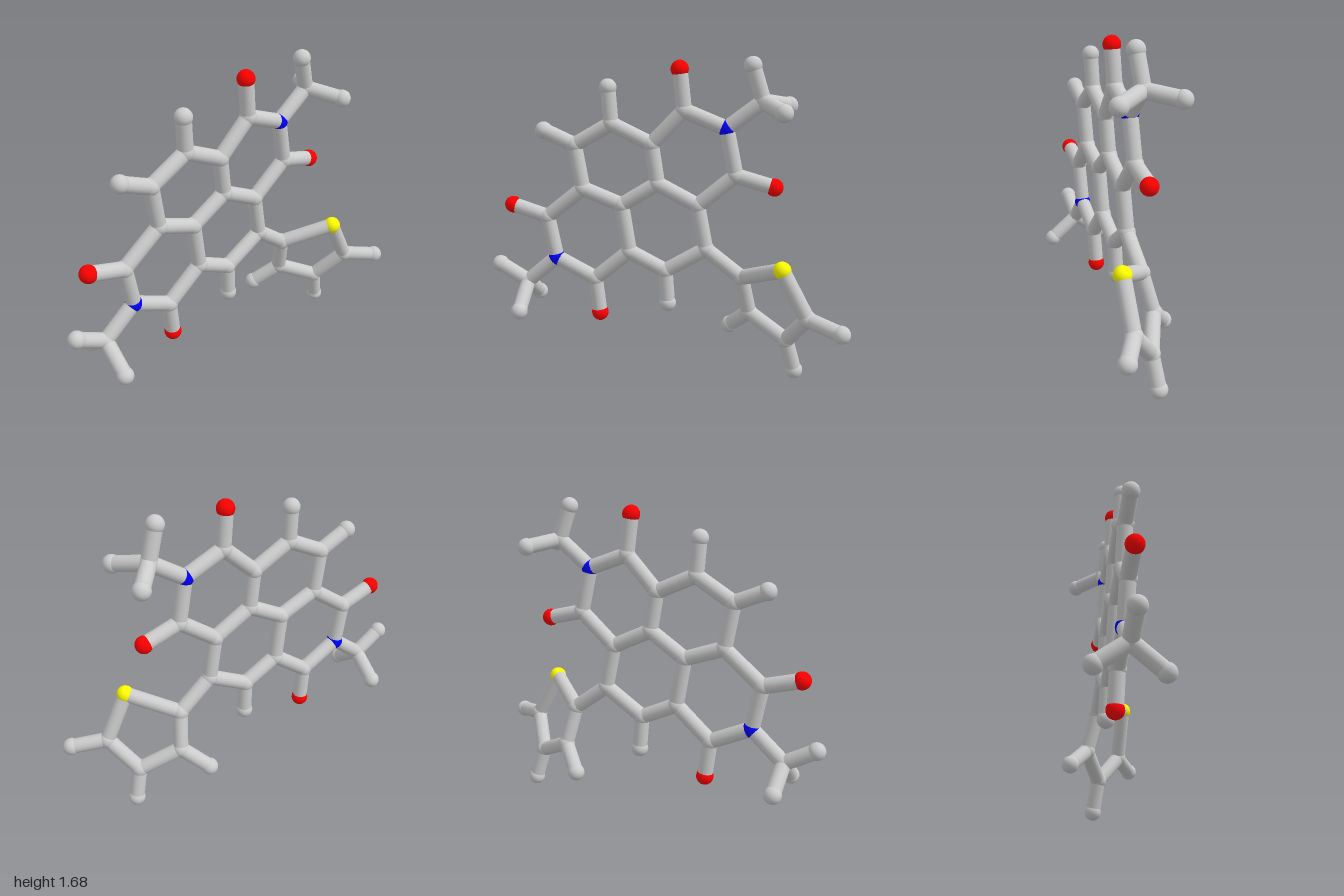
import * as THREE from 'three';

const ATOM_R = 0.046, BOND_R = 0.04;
const grey = new THREE.MeshStandardMaterial({ color: 0xcccccc });
const blue = new THREE.MeshStandardMaterial({ color: 0x0000ff });
const red = new THREE.MeshStandardMaterial({ color: 0xff0000 });
const yellow = new THREE.MeshStandardMaterial({ color: 0xffff00 });

const KINDS = {
  C: ['carbonAtom', grey], H: ['hydrogenAtom', grey], N: ['nitrogenAtom', blue],
  O: ['oxygenAtom', red], S: ['sulfurAtom', yellow],
};

// The fused ring system is flat: depth follows one slightly tilted plane
const planeZ = (x, y) => -0.04 - 0.0525 * x + 0.039 * y;

// The first letter of each key gives the element; z is left out for in-plane atoms
const ATOMS = {
  // fused rings
  C1: [-0.49, 1.217], C2: [-0.285, 1.334], C3: [-0.07, 1.233], C4: [0.105, 1.41],
  N1: [0.323, 1.324], C5: [0.372, 1.083], C6: [0.174, 0.917], C7: [-0.04, 1.024],
  C8: [-0.238, 0.901], C9: [-0.452, 0.981], C10: [-0.66, 0.816], N2: [-0.618, 0.586],
  C11: [-0.398, 0.479], C12: [-0.2, 0.644], C13: [-0.003, 0.548], C14: [0.217, 0.682],
  // atoms on the ring edges
  O1: [0.083, 1.618], O2: [0.57, 1.03], O3: [-0.858, 0.874], O4: [-0.377, 0.281],
  H1: [-0.66, 1.29], H2: [-0.297, 1.521], H3: [0.008, 0.366],
  // upper methyl group
  C15: [0.505, 1.463, -0.015], H4: [0.452, 1.639, 0.005],
  H5: [0.63, 1.42, 0.133], H6: [0.612, 1.434, -0.17],
  // lower methyl group
  C16: [-0.794, 0.436, 0.02], H7: [-0.954, 0.527, 0.035],
  H8: [-0.782, 0.307, 0.174], H9: [-0.8, 0.327, -0.135],
  // five-sided side ring
  C17: [0.407, 0.537, -0.045], S1: [0.643, 0.639, 0.117], C18: [0.775, 0.39, 0.1],
  C19: [0.655, 0.222, -0.023], C20: [0.441, 0.33, -0.1],
  H10: [0.951, 0.356, 0.18], H11: [0.698, 0.05, -0.05], H12: [0.318, 0.217, -0.192],
};

// Each line is a chain of bonded atoms
const CHAINS = [
  'C1 C2 C3 C4 N1 C5 C6 C7 C8 C9 C1',
  'C9 C10 N2 C11 C12 C13 C14 C6',
  'C3 C7', 'C8 C12',
  'C4 O1', 'C5 O2', 'C10 O3', 'C11 O4',
  'C1 H1', 'C2 H2', 'C13 H3',
  'N1 C15 H4', 'H5 C15 H6',
  'N2 C16 H7', 'H8 C16 H9',
  'C14 C17 S1 C18 C19 C20 C17',
  'C18 H10', 'C19 H11', 'C20 H12',
];

export function createModel() {
  const model = new THREE.Group();
  model.name = 'molecule';
  const atoms = new THREE.Group();
  atoms.name = 'atoms';
  const bonds = new THREE.Group();
  bonds.name = 'bonds';
  model.add(atoms, bonds);

  // Atom balls
  const ball = new THREE.SphereGeometry(ATOM_R, 24, 16);
  const points = {};
  for (const [key, [x, y, z = planeZ(x, y)]] of Object.entries(ATOMS)) {
    const [name, material] = KINDS[key[0]];
    const atom = new THREE.Mesh(ball, material);
    atom.name = name;
    atom.position.set(x, y, z);
    points[key] = atom.position;
    atoms.add(atom);
  }

  // Bond sticks
  const stick = new THREE.CylinderGeometry(BOND_R, BOND_R, 1, 20);
  const up = new THREE.Vector3(0, 1, 0);
  for (const chain of CHAINS) {
    const keys = chain.split(' ');
    for (let i = 1; i < keys.length; i++) {
      const a = points[keys[i - 1]], b = points[keys[i]];
      const along = b.clone().sub(a);
      const bond = new THREE.Mesh(stick, grey);
      bond.name = 'bond';
      bond.scale.y = along.length();
      bond.position.copy(a).add(b).multiplyScalar(0.5);
      bond.quaternion.setFromUnitVectors(up, along.normalize());
      bonds.add(bond);
    }
  }
  return model;
}
